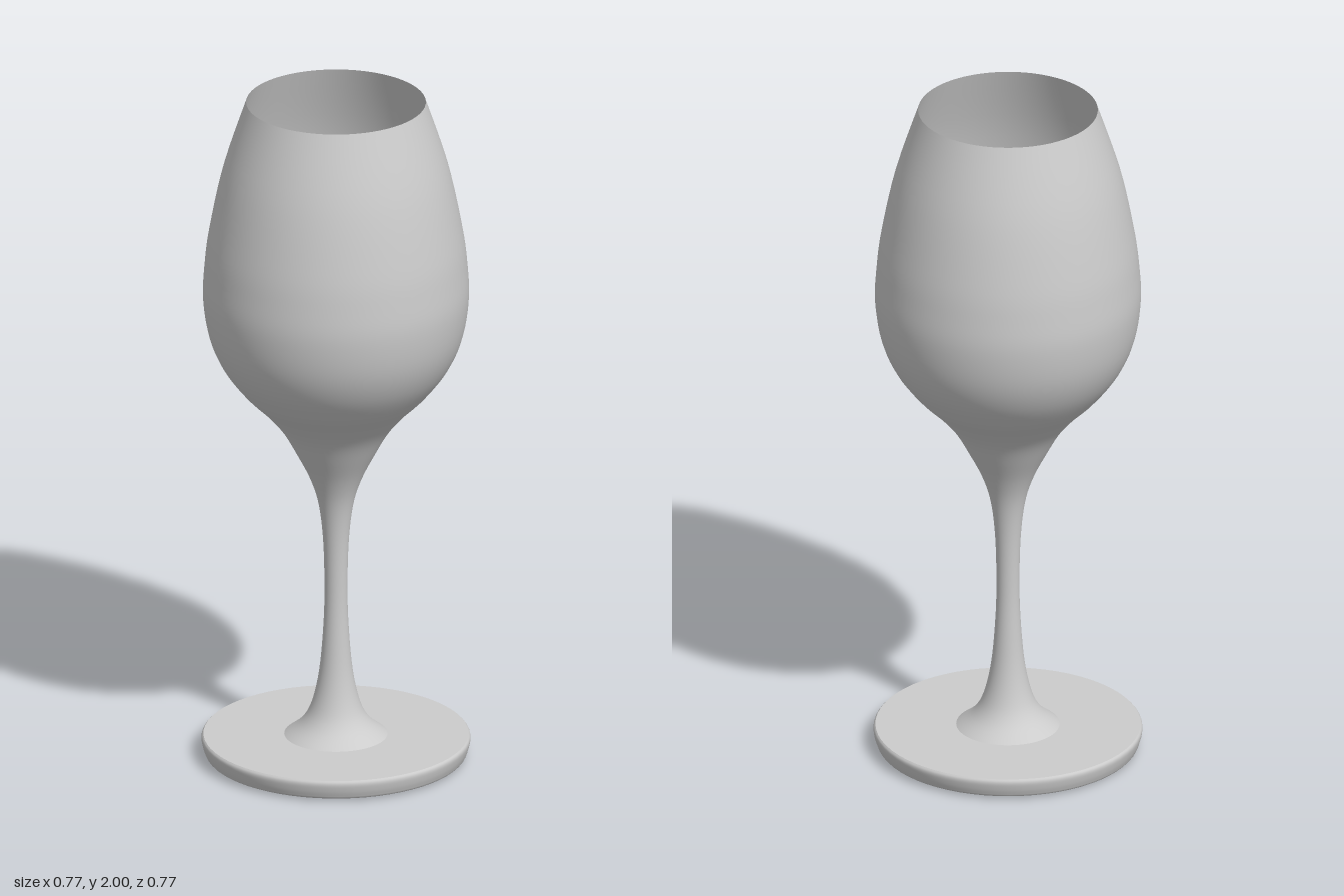
import * as THREE from 'three';

const SEGMENTS = 64;

// Smooth profile through a few [radius, height] points
function smooth(points, divisions) {
  return new THREE.SplineCurve(points.map(([r, y]) => new THREE.Vector2(r, y))).getPoints(divisions);
}

export function createModel() {
  const group = new THREE.Group();
  group.name = 'wineGlass';
  const material = new THREE.MeshStandardMaterial({ color: 0xcccccc });
  const thin = new THREE.MeshStandardMaterial({ color: 0xcccccc, side: THREE.DoubleSide });

  function turned(name, profile, mat) {
    const mesh = new THREE.Mesh(new THREE.LatheGeometry(profile, SEGMENTS), mat);
    mesh.name = name;
    group.add(mesh);
  }

  // Foot: flat disc with a rounded edge, slightly tucked in below
  turned('footEdge', smooth([
    [0.31, 0], [0.365, 0.006], [0.377, 0.02], [0.384, 0.045], [0.384, 0.058], [0.379, 0.065],
  ], 20), material);
  turned('footTop', [new THREE.Vector2(0.379, 0.065), new THREE.Vector2(0, 0.065)], material);
  turned('footBase', [new THREE.Vector2(0, 0), new THREE.Vector2(0.31, 0)], material);

  // Stem and bowl: one continuous thin wall flaring at both ends
  turned('stemAndBowl', smooth([
    [0.148, 0.065], [0.1, 0.105], [0.07, 0.16], [0.048, 0.26], [0.036, 0.4], [0.033, 0.52],
    [0.037, 0.66], [0.05, 0.77], [0.075, 0.85], [0.115, 0.93], [0.155, 1.0], [0.205, 1.06],
    [0.265, 1.12], [0.325, 1.2], [0.363, 1.29], [0.38, 1.4], [0.376, 1.5], [0.362, 1.61],
    [0.322, 1.8], [0.257, 2],
  ], 96), thin);

  // Floor inside the bowl, blending into the wall
  turned('bowlFloor', smooth([
    [0.21, 1.068], [0.18, 1.035], [0.155, 1.014], [0.13, 1.008], [0.07, 1.006], [0, 1.006],
  ], 16), material);

  return group;
}
